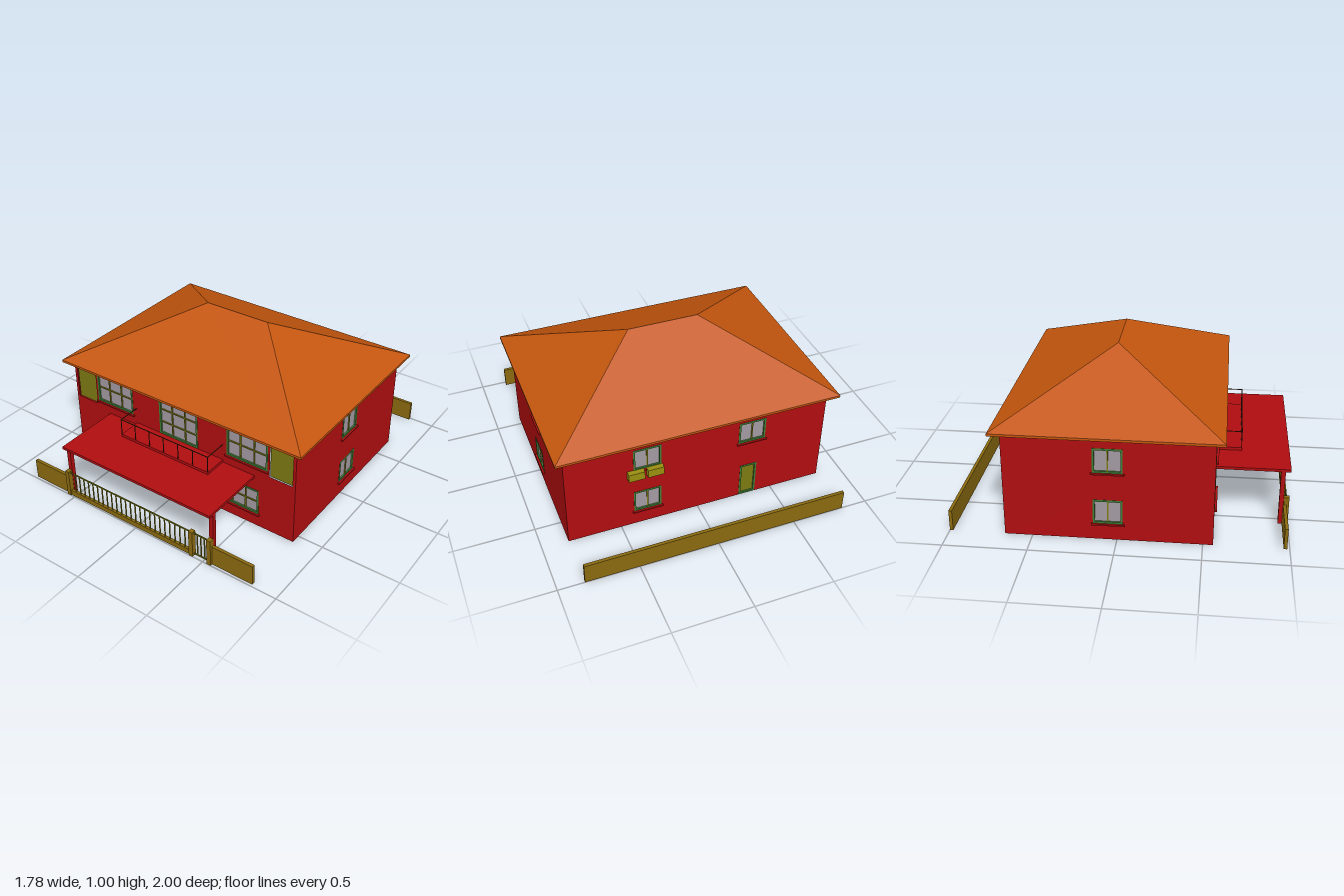
import * as THREE from 'three';
import { ConvexGeometry } from 'three/addons/geometries/ConvexGeometry.js';

const paint = (color, extra = {}) => new THREE.MeshStandardMaterial({ color, ...extra });
const red = paint(0xb00d10);
const wallRed = paint(0xb00d10, { side: THREE.DoubleSide });
const orange = paint(0xc4560e);
const olive = paint(0x8a6a10);
const doorOlive = paint(0x7d7a12);
const green = paint(0x3f7d35);
const glassGrey = paint(0xa39aa2);
const dark = paint(0x4a2a10);
const yellow = paint(0x9a9010);

// Box given by its bounds
function box(parent, name, x0, x1, y0, y1, z0, z1, mat) {
  const mesh = new THREE.Mesh(new THREE.BoxGeometry(x1 - x0, y1 - y0, z1 - z0), mat);
  mesh.position.set((x0 + x1) / 2, (y0 + y1) / 2, (z0 + z1) / 2);
  mesh.name = name;
  parent.add(mesh);
  return mesh;
}

function rect(target, x0, x1, y0, y1) {
  target.moveTo(x0, y0);
  target.lineTo(x1, y0);
  target.lineTo(x1, y1);
  target.lineTo(x0, y1);
  target.closePath();
  return target;
}

// Framed opening in a wall; the outside is local +z
function fillOpening(wall, { name, x0, x1, y0, y1, cols = 1, rows = 1, mat = glassGrey, frame = 0.012, sill = false }) {
  const group = new THREE.Group();
  group.name = name;
  wall.add(group);
  box(group, 'panel', x0, x1, y0, y1, -0.012, -0.008, mat);
  if (frame) {
    const outline = rect(new THREE.Shape(), x0, x1, y0, y1);
    outline.holes.push(rect(new THREE.Path(), x0 + frame, x1 - frame, y0 + frame, y1 - frame));
    const border = new THREE.Mesh(new THREE.ExtrudeGeometry(outline, { depth: 0.015, bevelEnabled: false }), green);
    border.position.z = -0.013;
    border.name = 'frame';
    group.add(border);
  }
  // Glazing bars
  for (let i = 1; i < cols; i++) {
    const x = x0 + (x1 - x0) * i / cols;
    box(group, 'verticalBar', x - 0.004, x + 0.004, y0, y1, -0.009, -0.002, doorOlive);
  }
  for (let i = 1; i < rows; i++) {
    const y = y0 + (y1 - y0) * i / rows;
    box(group, 'horizontalBar', x0, x1, y - 0.004, y + 0.004, -0.009, -0.002, doorOlive);
  }
  if (sill) box(group, 'sill', x0 - 0.01, x1 + 0.01, y0 - 0.009, y0, -0.005, 0.014, red);
}

// Thin wall pierced by its openings
function makeWall(name, width, openings) {
  const wall = new THREE.Group();
  wall.name = name;
  const shape = rect(new THREE.Shape(), -width / 2, width / 2, 0, 0.665);
  for (const o of openings) {
    shape.holes.push(rect(new THREE.Path(), o.x0, o.x1, o.y0, o.y1));
    fillOpening(wall, o);
  }
  const surface = new THREE.Mesh(new THREE.ShapeGeometry(shape), wallRed);
  surface.name = 'wallSurface';
  wall.add(surface);
  return wall;
}

const smallWindow = (x, y0) => ({
  name: 'smallWindow', x0: x - 0.0875, x1: x + 0.0875, y0, y1: y0 + 0.155, cols: 2, sill: true,
});

function makeHouse() {
  const house = new THREE.Group();
  house.name = 'house';

  // Front: mirrored windows and corner panels, balcony door, front door
  const front = [
    { name: 'balconyDoor', x0: -0.145, x1: 0.145, y0: 0.386, y1: 0.655, cols: 3, rows: 3 },
    { name: 'frontDoor', x0: -0.08, x1: 0.08, y0: 0.003, y1: 0.265, mat: doorOlive },
  ];
  for (const s of [-1, 1]) {
    const span = (a, b) => ({ x0: Math.min(s * a, s * b), x1: Math.max(s * a, s * b) });
    front.push(
      { name: 'upperWindow', ...span(0.357, 0.645), y0: 0.437, y1: 0.645, cols: 3, rows: 2, sill: true },
      { name: 'lowerWindow', ...span(0.3, 0.588), y0: 0.09, y1: 0.265, cols: 3, rows: 2, sill: true },
      { name: 'cornerPanel', ...span(0.66, 0.815), y0: 0.405, y1: 0.655, mat: doorOlive, frame: 0 },
    );
  }
  const frontWall = makeWall('frontWall', 1.67, front);
  frontWall.position.z = 0.56;

  // Back: three windows, a door and two planter boxes
  const backWall = makeWall('backWall', 1.67, [
    smallWindow(-0.328, 0.435),
    smallWindow(-0.328, 0.105),
    smallWindow(0.345, 0.435),
    { name: 'backDoor', x0: 0.28, x1: 0.39, y0: 0.003, y1: 0.245, mat: doorOlive },
  ]);
  for (const x of [-0.405, -0.285]) {
    box(backWall, 'planterBox', x - 0.05, x + 0.05, 0.385, 0.44, 0, 0.035, yellow);
  }
  backWall.position.z = -0.665;
  backWall.rotation.y = Math.PI;
  house.add(frontWall, backWall);

  // Sides: one window per floor
  for (const s of [-1, 1]) {
    const side = makeWall(s > 0 ? 'leftWall' : 'rightWall', 1.225, [smallWindow(0, 0.435), smallWindow(0, 0.105)]);
    side.position.set(s * 0.835, 0, -0.0525);
    side.rotation.y = s * Math.PI / 2;
    house.add(side);
  }

  // Hipped roof with a shallow eaves band
  const points = [];
  for (const x of [-0.89, 0.89]) {
    for (const z of [-0.725, 0.612]) {
      points.push(new THREE.Vector3(x, 0.66, z), new THREE.Vector3(x, 0.675, z));
    }
    points.push(new THREE.Vector3(Math.sign(x) * 0.225, 1, -0.057));
  }
  const roof = new THREE.Mesh(new ConvexGeometry(points), orange);
  roof.name = 'roof';
  house.add(roof);
  return house;
}

function makePorch() {
  const porch = new THREE.Group();
  porch.name = 'porch';
  box(porch, 'canopy', -0.555, 0.555, 0.35, 0.367, 0.56, 1, red);
  box(porch, 'balconyFloor', -0.33, 0.33, 0.367, 0.385, 0.56, 0.71, red);
  for (const s of [-1, 1]) {
    box(porch, 'post', s * 0.541 - 0.0135, s * 0.541 + 0.0135, 0, 0.35, 0.941, 0.968, red);
    box(porch, 'sideRail', s * 0.328 - 0.002, s * 0.328 + 0.002, 0.491, 0.495, 0.56, 0.71, dark);
  }
  box(porch, 'frontRail', -0.33, 0.33, 0.491, 0.495, 0.706, 0.71, dark);
  for (let i = 0; i <= 6; i++) {
    const x = -0.328 + i * 0.656 / 6;
    box(porch, 'railPost', x - 0.002, x + 0.002, 0.385, 0.495, 0.706, 0.71, dark);
  }
  return porch;
}

function makeFences() {
  const fences = new THREE.Group();
  fences.name = 'fences';
  box(fences, 'backFence', -0.835, 0.835, 0, 0.132, -1, -0.98, olive);
  box(fences, 'frontFenceRight', -0.835, -0.555, 0, 0.132, 0.965, 0.985, olive);
  box(fences, 'frontFenceLeft', 0.555, 0.835, 0, 0.132, 0.965, 0.985, olive);
  for (const x of [-0.543, 0.415, 0.543]) {
    box(fences, 'pillar', x - 0.014, x + 0.014, 0, 0.18, 0.969, 1, olive);
  }
  // Railing on a low base, then a small gate
  box(fences, 'railingBase', -0.53, 0.402, 0, 0.035, 0.975, 0.993, olive);
  box(fences, 'gateBottomRail', 0.429, 0.53, 0.012, 0.02, 0.981, 0.987, doorOlive);
  box(fences, 'topRail', -0.53, 0.53, 0.165, 0.173, 0.981, 0.987, doorOlive);
  const bars = (x0, x1, n, y0) => {
    for (let i = 1; i < n; i++) {
      const x = x0 + (x1 - x0) * i / n;
      box(fences, 'bar', x - 0.003, x + 0.003, y0, 0.166, 0.981, 0.987, doorOlive);
    }
  };
  bars(-0.53, 0.402, 25, 0.034);
  bars(0.429, 0.53, 4, 0.013);
  return fences;
}

export function createModel() {
  const model = new THREE.Group();
  model.name = 'villa';
  model.add(makeHouse(), makePorch(), makeFences());
  return model;
}
